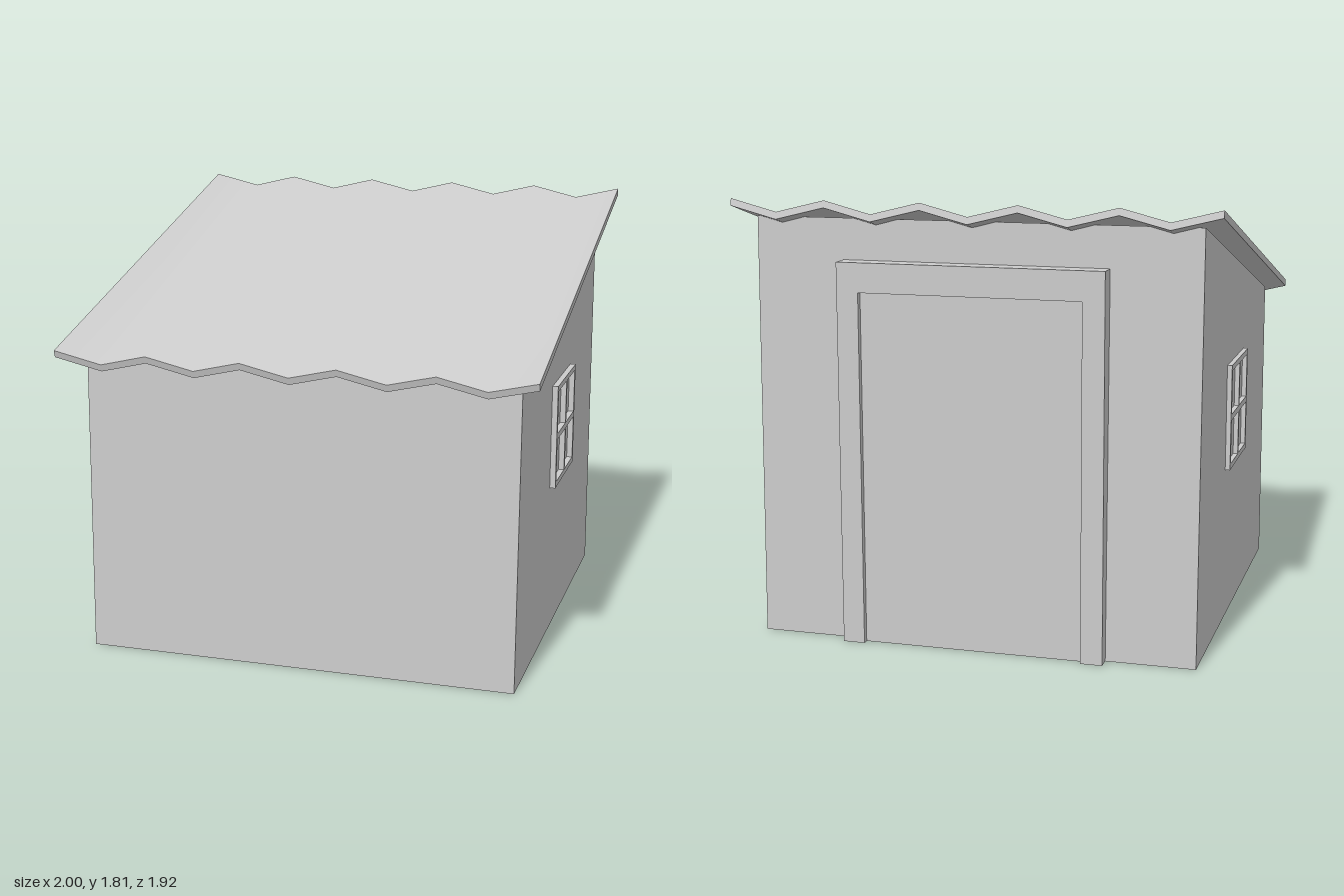
import * as THREE from 'three';
import { toCreasedNormals } from 'three/addons/utils/BufferGeometryUtils.js';

const material = new THREE.MeshStandardMaterial({ color: 0xcccccc });

const shapeFrom = (points) => new THREE.Shape(points.map(([x, y]) => new THREE.Vector2(x, y)));
const extrude = (shape, depth) => new THREE.ExtrudeGeometry(shape, { depth, bevelEnabled: false });

function rectPath(Type, x0, y0, x1, y1) {
  const path = new Type();
  path.moveTo(x0, y0).lineTo(x1, y0).lineTo(x1, y1).lineTo(x0, y1).closePath();
  return path;
}

function addMesh(parent, name, geometry, x = 0, y = 0, z = 0) {
  const mesh = new THREE.Mesh(geometry, material);
  mesh.name = name;
  mesh.position.set(x, y, z);
  parent.add(mesh);
  return mesh;
}

// Side profiles are drawn in (z, y) and extruded towards -x
function addSideways(parent, name, shape, depth, x) {
  addMesh(parent, name, extrude(shape, depth), x).rotation.y = -Math.PI / 2;
}

// Corrugated sheet: zigzag section, peaks at both side edges
function roofGeometry(length) {
  const top = [];
  for (let i = 0; i <= 10; i++) top.push([-1 + i * 0.2, i % 2 ? -0.051 : 0]);
  const bottom = top.map(([x, y]) => [x, y - 0.03]).reverse();
  const geometry = extrude(shapeFrom([...top, ...bottom]), length);
  geometry.translate(0, 0, -length / 2);
  return toCreasedNormals(geometry, THREE.MathUtils.degToRad(40));
}

// Four-pane window frame with real openings
function windowShape() {
  const cz = -0.057, cy = 0.886, bar = 0.01, inner = 0.197;
  const shape = rectPath(THREE.Shape, cz - 0.218, cy - 0.224, cz + 0.218, cy + 0.224);
  for (const sz of [-1, 1]) for (const sy of [-1, 1]) {
    shape.holes.push(rectPath(THREE.Path, cz + sz * bar, cy + sy * (bar + 0.003), cz + sz * inner, cy + sy * (inner + 0.003)));
  }
  return shape;
}

export function createModel() {
  const shed = new THREE.Group();
  shed.name = 'shed';

  // Walls taper slightly and rise towards the back
  const wallProfile = shapeFrom([[-0.9, 0], [0.843, 0], [0.812, 1.295], [-0.87, 1.742]]);
  addSideways(shed, 'walls', wallProfile, 1.83, 0.908);

  // Sloping roof
  const slope = Math.atan2(0.5, 1.88);
  const roof = addMesh(shed, 'roof', roofGeometry(Math.hypot(0.5, 1.88)), 0, 1.564, 0.02);
  roof.rotation.x = slope;

  // Side windows
  addSideways(shed, 'rightWindow', windowShape(), 0.04, 0.932);
  addSideways(shed, 'leftWindow', windowShape(), 0.04, -0.902);

  // Door surround and door at the back
  const frame = shapeFrom([
    [-0.555, 0], [-0.465, 0], [-0.465, 1.455], [0.45, 1.455],
    [0.45, 0], [0.54, 0], [0.54, 1.575], [-0.555, 1.575],
  ]);
  addMesh(shed, 'doorFrame', extrude(frame, 0.09), 0, 0, -0.956);
  addMesh(shed, 'door', new THREE.BoxGeometry(0.93, 1.46, 0.06), -0.0075, 0.73, -0.9);

  return shed;
}
